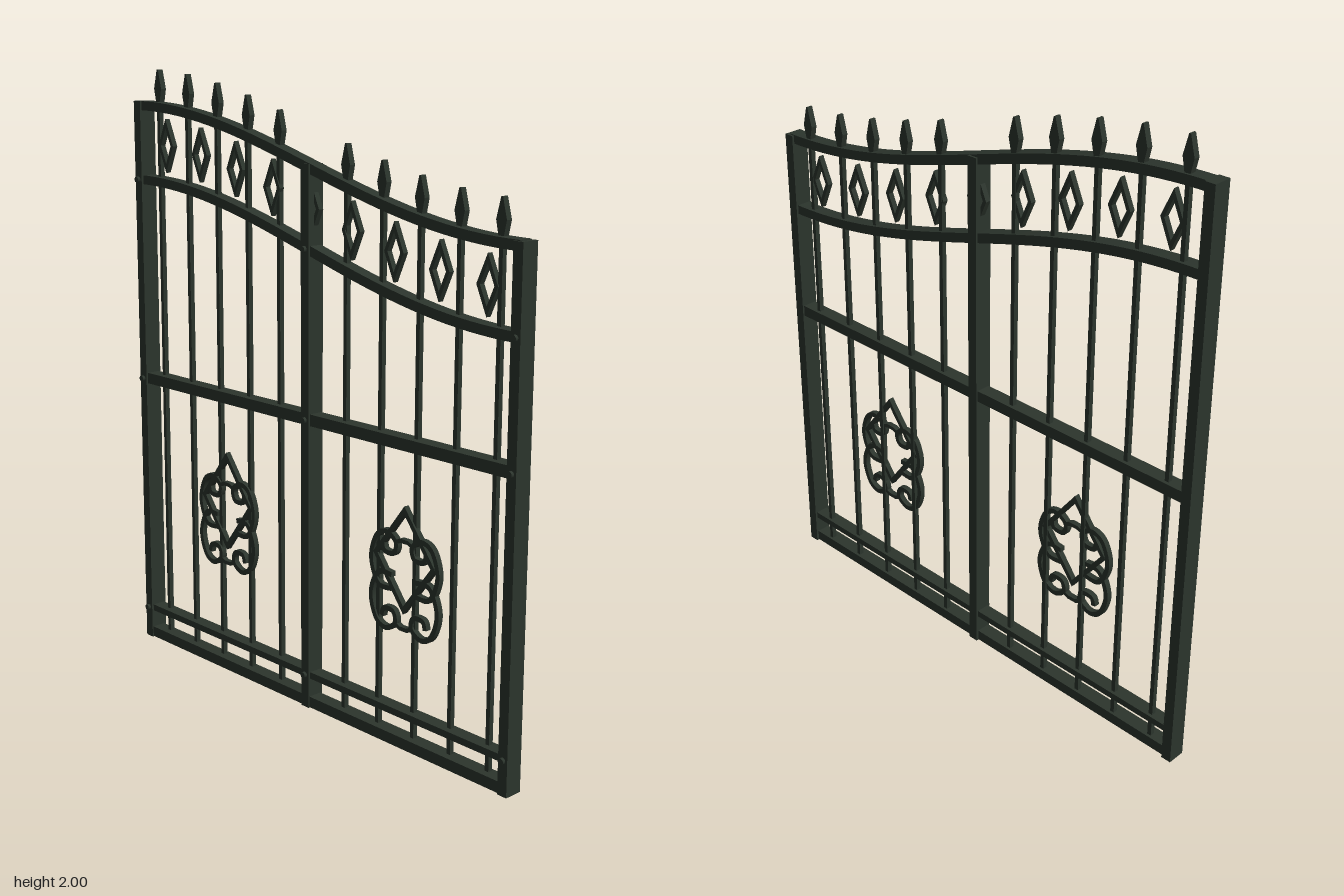
import * as THREE from 'three';
import { toCreasedNormals } from 'three/addons/utils/BufferGeometryUtils.js';

const HALF = 0.832;   // post centre line
const TOP = 1.725;    // height of the upper arch at the middle
const DROP = 0.245;   // distance between the two arches
const archY = x => TOP - 0.155 * Math.sin((Math.PI * x) / (2 * HALF));

// Rectangular bar swept along a planar list of points
function sweep(pts, w, d) {
  const pos = [], idx = [];
  pts.forEach((p, i) => {
    const a = pts[Math.max(i - 1, 0)], b = pts[Math.min(i + 1, pts.length - 1)];
    const t = new THREE.Vector2().subVectors(b, a).normalize();
    const nx = (-t.y * w) / 2, ny = (t.x * w) / 2;
    for (const [s, z] of [[1, 1], [-1, 1], [-1, -1], [1, -1]])
      pos.push(p.x + s * nx, p.y + s * ny, (z * d) / 2);
  });
  const n = pts.length - 1;
  for (let i = 0; i < n; i++)
    for (let k = 0; k < 4; k++) {
      const a = i * 4 + k, b = i * 4 + ((k + 1) % 4);
      idx.push(a, b, a + 4, b, b + 4, a + 4);
    }
  const e = n * 4;
  idx.push(0, 2, 1, 0, 3, 2, e, e + 1, e + 2, e, e + 2, e + 3);
  const g = new THREE.BufferGeometry();
  g.setAttribute('position', new THREE.Float32BufferAttribute(pos, 3));
  g.setIndex(idx);
  return toCreasedNormals(g, 0.7);
}

// Flat plate cut from an outline, centred in depth
function plate(outline, depth, hole) {
  const shape = new THREE.Shape(outline.map(p => new THREE.Vector2(...p)));
  if (hole) shape.holes.push(new THREE.Path(hole.map(p => new THREE.Vector2(...p))));
  return new THREE.ExtrudeGeometry(shape, { depth, bevelEnabled: false }).translate(0, 0, -depth / 2);
}

// Hollow diamond
function diamond(hw, hh, stroke, depth) {
  const k = 1 - (stroke * Math.hypot(hw, hh)) / (hw * hh);
  const ring = s => [[0, -hh * s], [hw * s, 0], [0, hh * s], [-hw * s, 0]];
  return plate(ring(1), depth, ring(k));
}

export function createModel() {
  const gate = new THREE.Group();
  gate.name = 'gate';
  const iron = new THREE.MeshStandardMaterial({ color: 0x2c352d });
  iron.name = 'dark green iron';

  const add = (name, geometry, x = 0, y = 0, z = -0.005, parent = gate) => {
    const m = new THREE.Mesh(geometry, iron);
    m.name = name;
    m.position.set(x, y, z);
    parent.add(m);
    return m;
  };
  const box = (name, w, h, d, x, y, z) => add(name, new THREE.BoxGeometry(w, h, d), x, y, z);

  // Posts, with a rivet at each joint
  const rivet = new THREE.CylinderGeometry(0.01, 0.01, 0.016, 10).rotateX(Math.PI / 2);
  for (const [name, x, top] of [['rightPost', -HALF, 1.895], ['middlePost', 0, 1.735], ['leftPost', HALF, 1.582]]) {
    box(name, 0.034, top, 0.06, x, top / 2);
    for (const y of [0.11, 0.95, archY(x) - DROP]) add('rivet', rivet, x, y, 0.027);
  }

  // Straight rails
  box('bottomRail', 2 * HALF + 0.02, 0.036, 0.048, 0, 0.02, -0.003);
  box('lowerRail', 2 * HALF, 0.022, 0.046, 0, 0.11);
  box('middleRail', 2 * HALF, 0.037, 0.048, 0, 0.952);

  // Curved rails
  const arch = [];
  for (let i = 0; i <= 40; i++) {
    const x = -HALF + (2 * HALF * i) / 40;
    arch.push(new THREE.Vector2(x, archY(x)));
  }
  const archGeometry = sweep(arch, 0.03, 0.046);
  add('upperArch', archGeometry);
  add('lowerArch', archGeometry, 0, -DROP);

  // Upright bars with spear tips
  const spear = plate([[-0.009, 0], [0.009, 0], [0.019, 0.046], [0.003, 0.108], [-0.003, 0.108], [-0.019, 0.046]], 0.02);
  for (let i = -5; i <= 5; i++) {
    if (i === 0) continue;
    const x = i * 0.15, top = archY(x);
    box('bar', 0.014, top - 0.02, 0.016, x, 0.02 + (top - 0.02) / 2, -0.01);
    add('spearTip', spear, x, top + 0.012, -0.011);
  }

  // Diamonds between the arches
  const small = diamond(0.039, 0.088, 0.012, 0.018);
  for (let i = -4; i <= 4; i++) add('archDiamond', small, i * 0.177, archY(i * 0.177) - DROP / 2 - 0.002, -0.007);

  // Scroll ornaments
  const path = [[-0.05, 0.493], [-0.106, 0.497], [-0.137, 0.57], [-0.116, 0.644], [-0.074, 0.667],
    [-0.034, 0.643], [-0.042, 0.607], [-0.08, 0.606], [-0.09, 0.632]];
  const scrollShape = (sx, sy) => sweep(new THREE.SplineCurve(path.map(([x, y]) =>
    new THREE.Vector2(sx * x, sy * (y - 0.515)))).getPoints(48), 0.016, 0.018);
  const link = s => sweep([[-0.036, 0.01], [-0.015, 0], [0.015, 0], [0.036, 0.01]]
    .map(([x, y]) => new THREE.Vector2(x, s * y)), 0.013, 0.018);
  const large = diamond(0.128, 0.168, 0.015, 0.018);
  for (const cx of [-0.412, 0.412]) {
    const ornament = new THREE.Group();
    ornament.name = 'ornament';
    ornament.position.set(cx, 0.515, -0.005);
    gate.add(ornament);
    add('ornamentDiamond', large, 0, 0.078, 0, ornament);
    for (const sx of [-1, 1]) for (const sy of [-1, 1]) add('scroll', scrollShape(sx, sy), 0, 0, 0, ornament);
    add('upperLink', link(-1), 0, 0.137, 0, ornament);
    add('lowerLink', link(1), 0, -0.138, 0, ornament);
  }
  return gate;
}
